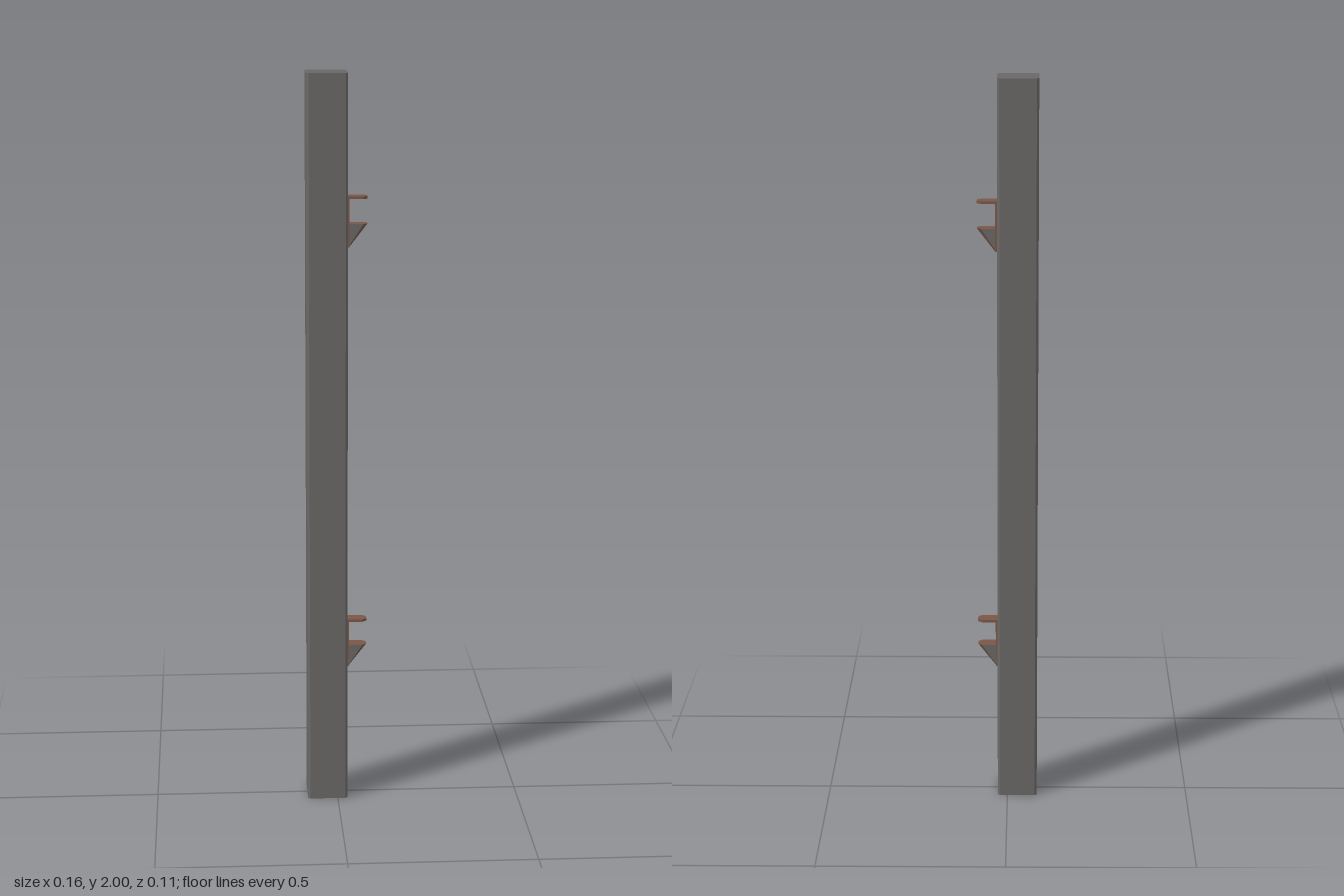
import * as THREE from 'three';

const steel = new THREE.MeshStandardMaterial({ color: 0x6a6866 });
steel.name = 'grey metal';
const rust = new THREE.MeshStandardMaterial({ color: 0x7a5747 });
rust.name = 'brown metal';

// Horizontal outline [x, z] raised from y0 by height
function slab(name, outline, y0, height, material) {
  const shape = new THREE.Shape(outline.map(([x, z]) => new THREE.Vector2(x, -z)));
  const geo = new THREE.ExtrudeGeometry(shape, { depth: height, bevelEnabled: false });
  geo.rotateX(-Math.PI / 2).translate(0, y0, 0);
  const mesh = new THREE.Mesh(geo, material);
  mesh.name = name;
  return mesh;
}

// Plan of the bracket ledges, with clipped outer corners
const ledge = [[0.027, 0.02], [0.07, 0.02], [0.081, 0.01], [0.081, -0.01], [0.07, -0.02], [0.027, -0.02]];

// Wedge: clipped ledge outline tapering down to the back plate
function wedge(top, bottom) {
  const upper = ledge.map(([x, z]) => [x, top, z]);
  const lower = ledge.map(([x, z], i) => [[0.027, 0.029, 0.033, 0.033, 0.029, 0.027][i], bottom, z]);
  const pos = [];
  const geo = new THREE.BufferGeometry();
  const quad = (a, b, c, d) => pos.push(...a, ...b, ...c, ...a, ...c, ...d);
  for (let i = 0; i < 6; i++) {
    const j = (i + 1) % 6;
    quad(lower[i], lower[j], upper[j], upper[i]);
    geo.addGroup(i * 6, 6, i === 0 || i === 4 ? 1 : 0);
  }
  // Top and bottom caps
  for (let i = 1; i < 5; i++) pos.push(...upper[0], ...upper[i], ...upper[i + 1]);
  for (let i = 1; i < 5; i++) pos.push(...lower[0], ...lower[i + 1], ...lower[i]);
  geo.addGroup(36, 24, 0);
  geo.setAttribute('position', new THREE.Float32BufferAttribute(pos, 3));
  geo.computeVertexNormals();
  const mesh = new THREE.Mesh(geo, [rust, steel]);
  mesh.name = 'wedge';
  return mesh;
}

export function createModel() {
  const model = new THREE.Group();
  model.name = 'gatePost';

  // Square post with clipped corners
  const cx = -0.0275, r = 0.0545, c = 0.006;
  const outline = [[r, r - c], [r, c - r], [r - c, -r], [c - r, -r], [-r, c - r], [-r, r - c], [c - r, r], [r - c, r]];
  model.add(slab('post', outline.map(([x, z]) => [x + cx, z]), 0, 2, steel));

  // Two brackets: back plate, upper shelf and wedge
  for (const [name, y] of [['lowerBracket', 0.374], ['upperBracket', 1.54]]) {
    const bracket = new THREE.Group();
    bracket.name = name;
    const plate = new THREE.Mesh(new THREE.BoxGeometry(0.007, 0.134, 0.04), rust);
    plate.name = 'backPlate';
    plate.position.set(0.029, 0.067, 0);
    bracket.add(plate, slab('shelf', ledge, 0.128, 0.007, rust), wedge(0.062, 0));
    bracket.position.y = y;
    model.add(bracket);
  }
  return model;
}
